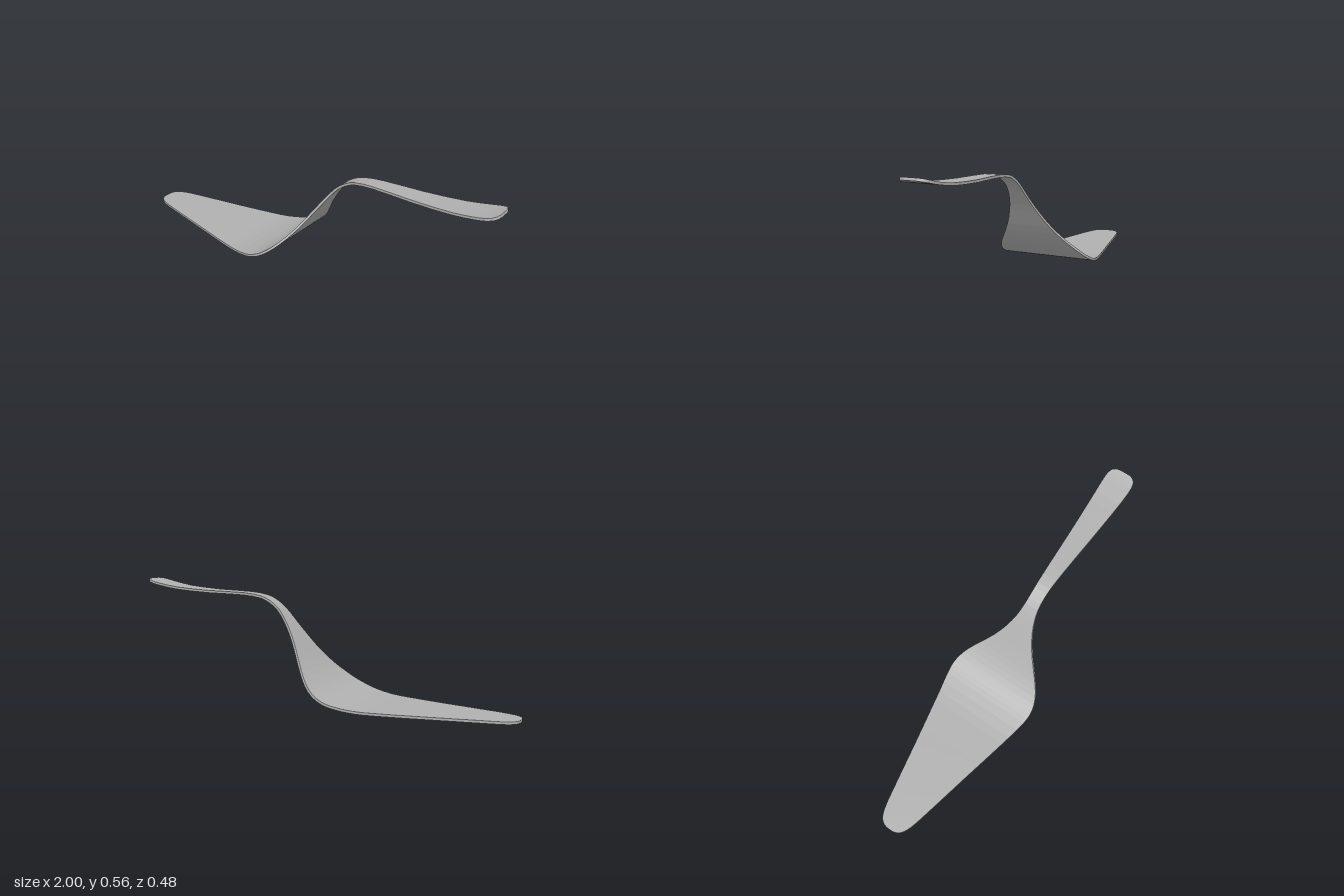
import * as THREE from 'three';

// Stations along the server: x, centreline height, half width
const STATIONS = [
  [-1, 0.01, 0.018], [-0.992, 0.01, 0.042], [-0.97, 0.01, 0.064], [-0.93, 0.01, 0.081],
  [-0.85, 0.01, 0.1], [-0.6, 0.008, 0.152], [-0.4, 0.008, 0.195], [-0.3, 0.011, 0.216],
  [-0.2, 0.027, 0.236], [-0.15, 0.043, 0.24], [-0.1, 0.068, 0.231], [-0.05, 0.107, 0.205],
  [0, 0.16, 0.162], [0.05, 0.227, 0.114], [0.1, 0.303, 0.074], [0.15, 0.374, 0.048],
  [0.2, 0.435, 0.036], [0.25, 0.471, 0.034], [0.3, 0.491, 0.035], [0.4, 0.503, 0.04],
  [0.6, 0.507, 0.052], [0.8, 0.519, 0.065], [0.9, 0.534, 0.071], [0.95, 0.544, 0.071],
  [0.98, 0.552, 0.063], [0.993, 0.556, 0.048], [0.999, 0.558, 0.026],
];
const HALF_THICKNESS = 0.006;

// Sweep a flat rectangular section through the stations
function sweptBlade() {
  const curve = new THREE.CatmullRomCurve3(STATIONS.map((s) => new THREE.Vector3(...s)));
  const pts = curve.getPoints((STATIONS.length - 1) * 2);
  const positions = [], index = [];
  pts.forEach((p, i) => {
    const a = pts[Math.max(i - 1, 0)], b = pts[Math.min(i + 1, pts.length - 1)];
    const len = Math.hypot(b.x - a.x, b.y - a.y);
    const nx = (-(b.y - a.y) / len) * HALF_THICKNESS;
    const ny = ((b.x - a.x) / len) * HALF_THICKNESS;
    // Corners: top +z, top -z, bottom -z, bottom +z
    for (const [side, z] of [[1, 1], [1, -1], [-1, -1], [-1, 1]]) {
      positions.push(p.x + side * nx, p.y + side * ny, z * p.z);
    }
  });
  for (let i = 0; i < pts.length - 1; i++) {
    for (let k = 0; k < 4; k++) {
      const a = i * 4 + k, b = i * 4 + ((k + 1) % 4);
      index.push(a, a + 4, b, b, a + 4, b + 4);
    }
  }
  // End caps
  const e = (pts.length - 1) * 4;
  index.push(0, 1, 2, 0, 2, 3, e, e + 2, e + 1, e, e + 3, e + 2);

  const indexed = new THREE.BufferGeometry();
  indexed.setAttribute('position', new THREE.Float32BufferAttribute(positions, 3));
  indexed.setIndex(index);
  const geometry = indexed.toNonIndexed();
  geometry.computeVertexNormals(); // faceted
  return geometry;
}

export function createModel() {
  const group = new THREE.Group();
  group.name = 'cakeServer';
  const steel = new THREE.MeshStandardMaterial({ color: 0xb0b0b0 });
  steel.name = 'steel grey';
  const body = new THREE.Mesh(sweptBlade(), steel);
  body.name = 'bladeAndHandle';
  group.add(body);
  return group;
}
